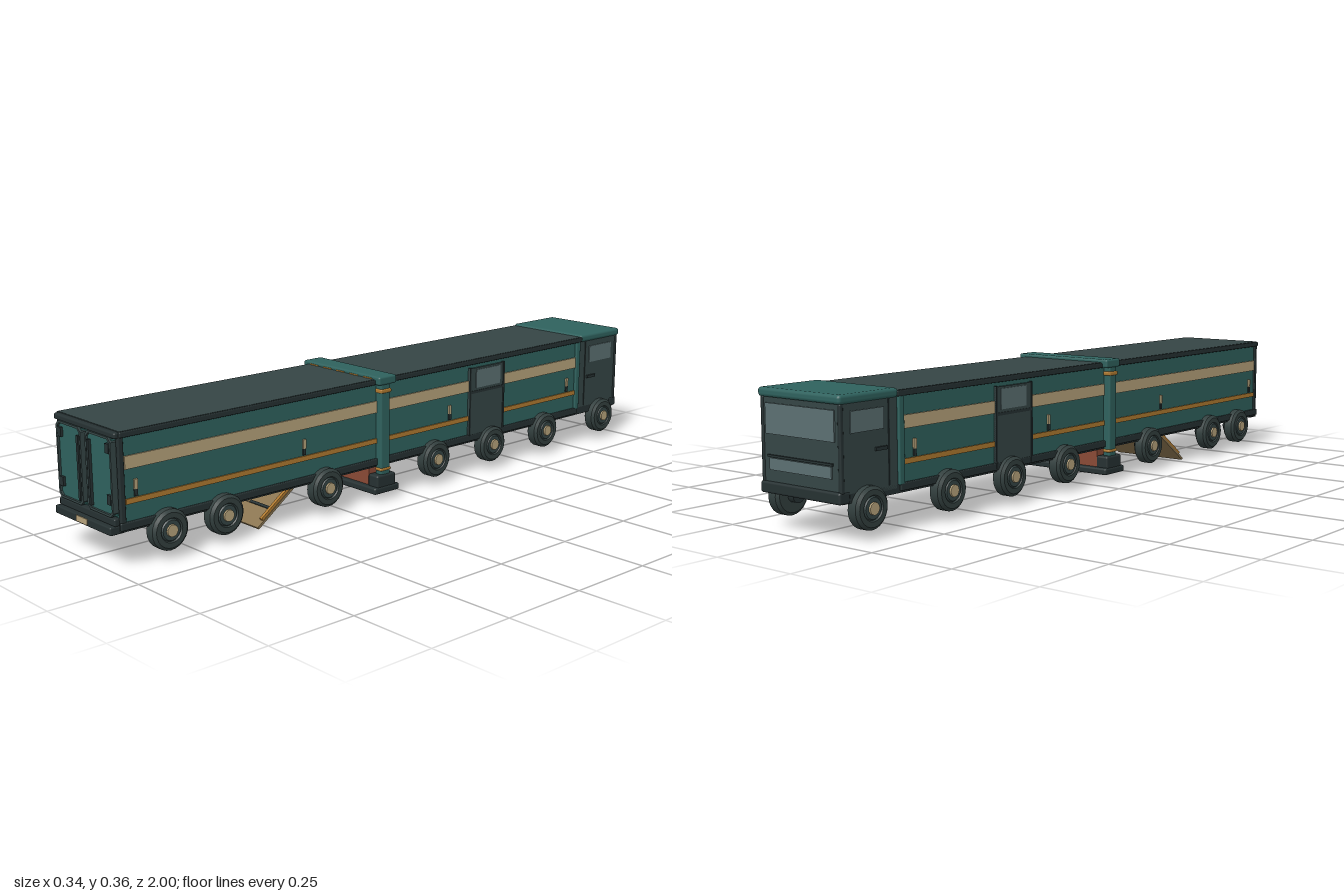
import * as THREE from 'three';
import { RoundedBoxGeometry } from 'three/addons/geometries/RoundedBoxGeometry.js';

const mat = (name, color) => {
  const m = new THREE.MeshStandardMaterial({ color });
  m.name = name;
  return m;
};

export function createModel() {
  const teal = mat('teal paint', 0x2f625e);
  const slate = mat('slate roof', 0x354545);
  const dark = mat('dark trim', 0x263132);
  const tyreMat = mat('tyre rubber', 0x33403f);
  const tan = mat('tan', 0xb8a47c);
  const orange = mat('orange', 0xb07a30);
  const brown = mat('ramp brown', 0x8a7550);
  const glass = mat('glass', 0x5c7072);
  const rust = mat('rust', 0x8a4a36);

  const model = new THREE.Group();
  model.name = 'longHauler';

  const add = (parent, name, geo, material, x = 0, y = 0, z = 0) => {
    const m = new THREE.Mesh(geo, material);
    m.name = name;
    m.position.set(x, y, z);
    parent.add(m);
    return m;
  };
  // box given by its limits; r > 0 rounds the edges
  const box = (parent, name, material, x0, x1, y0, y1, z0, z1, r = 0) => {
    const s = [x1 - x0, y1 - y0, z1 - z0];
    const geo = r ? new RoundedBoxGeometry(...s, 2, r) : new THREE.BoxGeometry(...s);
    return add(parent, name, geo, material, (x0 + x1) / 2, (y0 + y1) / 2, (z0 + z1) / 2);
  };
  // the same box on both sides, x limits measured outwards
  const pair = (parent, name, material, x0, x1, ...rest) => {
    box(parent, name + 'Left', material, x0, x1, ...rest);
    box(parent, name + 'Right', material, -x1, -x0, ...rest);
  };

  // Long cargo body
  const body = new THREE.Group();
  body.name = 'cargoBody';
  model.add(body);
  box(body, 'hull', teal, -0.138, 0.138, 0.11, 0.345, -0.79, 0.968);
  box(body, 'floor', dark, -0.14, 0.14, 0.095, 0.118, -0.985, 0.97);
  box(body, 'roof', slate, -0.143, 0.143, 0.343, 0.354, -0.8, 0.968);
  pair(body, 'roofRail', dark, 0.138, 0.148, 0.338, 0.353, -0.8, 0.97, 0.003);
  pair(body, 'skirt', dark, 0.136, 0.146, 0.1, 0.12, -0.79, 0.975, 0.003);
  pair(body, 'creamStripe', tan, 0.136, 0.142, 0.255, 0.289, -0.775, 0.955);
  pair(body, 'orangeStripe', orange, 0.136, 0.142, 0.165, 0.179, -0.78, 0.955);
  pair(body, 'frontPost', dark, 0.13, 0.143, 0.115, 0.342, 0.957, 0.972, 0.003);
  pair(body, 'rearPost', teal, 0.13, 0.146, 0.115, 0.342, -0.795, -0.775, 0.004);
  for (const z of [0.925, 0.38, -0.19, -0.735]) {
    pair(body, 'markerLamp', tan, 0.136, 0.143, 0.2, 0.226, z - 0.005, z + 0.005);
    pair(body, 'lampBracket', dark, 0.136, 0.142, 0.182, 0.2, z - 0.005, z + 0.005);
  }

  // Side doors
  pair(body, 'sideDoor', slate, 0.136, 0.145, 0.105, 0.326, -0.425, -0.27);
  pair(body, 'sideDoorJambFront', dark, 0.136, 0.147, 0.105, 0.328, -0.276, -0.27);
  pair(body, 'sideDoorJambRear', dark, 0.136, 0.147, 0.105, 0.328, -0.425, -0.419);
  pair(body, 'sideDoorSill', dark, 0.136, 0.147, 0.248, 0.256, -0.42, -0.275);
  pair(body, 'sideDoorWindow', glass, 0.144, 0.147, 0.264, 0.32, -0.405, -0.298);

  // Double doors on the front end
  const doors = new THREE.Group();
  doors.name = 'endDoors';
  model.add(doors);
  const octagon = (P, x0, x1, y0, y1, c) => {
    const s = new P();
    [[x0 + c, y0], [x1 - c, y0], [x1, y0 + c], [x1, y1 - c], [x1 - c, y1], [x0 + c, y1], [x0, y1 - c], [x0, y0 + c]]
      .forEach(([x, y], i) => (i ? s.lineTo(x, y) : s.moveTo(x, y)));
    s.closePath();
    return s;
  };
  for (const s of [1, -1]) {
    const [a, b] = s > 0 ? [0.01, 0.127] : [-0.127, -0.01];
    const frame = octagon(THREE.Shape, a, b, 0.132, 0.338, 0.012);
    frame.holes.push(octagon(THREE.Path, a + 0.006, b - 0.006, 0.138, 0.332, 0.01));
    add(doors, 'doorFrame', new THREE.ExtrudeGeometry(frame, { depth: 0.018, bevelEnabled: false }), slate, 0, 0, 0.967);
  }
  pair(doors, 'doorLeaf', teal, 0.013, 0.124, 0.135, 0.335, 0.965, 0.979);
  pair(doors, 'lockRod', dark, 0.02, 0.029, 0.144, 0.315, 0.977, 0.987);
  for (const y of [0.164, 0.296])
    pair(doors, 'hinge', dark, 0.103, 0.119, y, y + 0.025, 0.977, 0.986);
  box(doors, 'doorSill', dark, -0.13, 0.13, 0.11, 0.13, 0.96, 0.984, 0.004);
  box(doors, 'lintel', dark, -0.142, 0.142, 0.336, 0.352, 0.955, 0.982, 0.005);
  box(doors, 'bumper', dark, -0.13, 0.13, 0.089, 0.111, 0.955, 0.998, 0.004);
  box(doors, 'blankPlate', tan, -0.026, 0.026, 0.093, 0.109, 0.996, 1.0);

  // Cab at the far end
  const cab = new THREE.Group();
  cab.name = 'cab';
  model.add(cab);
  box(cab, 'cabShell', slate, -0.14, 0.14, 0.1, 0.342, -0.988, -0.792, 0.008);
  box(cab, 'cabRoof', teal, -0.146, 0.146, 0.336, 0.36, -0.996, -0.795, 0.009);
  box(cab, 'cabBumper', dark, -0.142, 0.142, 0.095, 0.125, -0.996, -0.96, 0.006);
  box(cab, 'windscreen', glass, -0.122, 0.122, 0.245, 0.322, -0.992, -0.985);
  box(cab, 'grille', glass, -0.11, 0.11, 0.155, 0.185, -0.992, -0.985);
  box(cab, 'grilleTrim', dark, -0.115, 0.115, 0.187, 0.193, -0.993, -0.985);
  pair(cab, 'cabWindow', glass, 0.137, 0.143, 0.264, 0.318, -0.957, -0.845);
  pair(cab, 'cabHandle', dark, 0.138, 0.146, 0.212, 0.221, -0.875, -0.835);
  pair(cab, 'cabSeam', dark, 0.138, 0.142, 0.12, 0.335, -0.828, -0.824);
  pair(cab, 'cabCorner', dark, 0.13, 0.142, 0.12, 0.338, -0.99, -0.978, 0.004);

  // Arch around the middle of the body
  const arch = new THREE.Group();
  arch.name = 'middleArch';
  model.add(arch);
  box(arch, 'archBeam', teal, -0.165, 0.165, 0.338, 0.363, 0.055, 0.122, 0.006);
  for (let i = -2; i <= 2; i++)
    box(arch, 'beamDash', orange, i * 0.058 - 0.018, i * 0.058 + 0.018, 0.353, 0.357, 0.118, 0.124);
  pair(arch, 'archPost', teal, 0.136, 0.161, 0.04, 0.345, 0.076, 0.111, 0.005);
  pair(arch, 'postBandUpper', orange, 0.137, 0.164, 0.314, 0.326, 0.073, 0.114, 0.004);
  pair(arch, 'postBandLower', orange, 0.137, 0.163, 0.085, 0.094, 0.073, 0.114, 0.004);
  pair(arch, 'postShoe', dark, 0.125, 0.166, 0.035, 0.075, 0.058, 0.13, 0.006);
  box(arch, 'crossFoot', dark, -0.169, 0.169, 0.021, 0.041, 0.046, 0.142, 0.006);
  box(arch, 'rustBlock', rust, -0.125, 0.125, 0.038, 0.1, 0.062, 0.126);

  // Loading ramp hanging from the floor
  const ramp = new THREE.Group();
  ramp.name = 'ramp';
  ramp.position.set(0, 0.098, 0.405);
  ramp.rotation.x = Math.atan2(0.092, 0.127);
  model.add(ramp);
  box(ramp, 'rampDeck', brown, -0.125, 0.125, -0.007, 0, 0, 0.16);
  pair(ramp, 'rampRail', orange, 0.113, 0.123, 0, 0.008, 0.005, 0.135);
  pair(ramp, 'rampCleat', dark, 0.025, 0.106, 0, 0.003, 0.088, 0.096);
  const arrow = new THREE.Shape([[-0.025, 0], [0.025, 0], [0, 0.014]].map(p => new THREE.Vector2(...p)));
  add(ramp, 'rampArrow', new THREE.ExtrudeGeometry(arrow, { depth: 0.003, bevelEnabled: false }), tan, 0, 0, 0.096)
    .rotation.x = -Math.PI / 2;

  // Wheels, seven on each side
  const profile = [[0.018, -0.02], [0.047, -0.02], [0.055, -0.013], [0.055, 0.013], [0.047, 0.02], [0.033, 0.02], [0.03, 0.016], [0.0, 0.016]];
  const pts = profile.flatMap(p => [p, p]).map(p => new THREE.Vector2(...p));
  const tyreGeo = new THREE.LatheGeometry(pts, 24);
  const rimGeo = new THREE.CylinderGeometry(0.027, 0.03, 0.004, 20);
  const hubGeo = new THREE.CylinderGeometry(0.016, 0.019, 0.03, 16);
  for (const z of [0.838, 0.66, 0.308, -0.12, -0.366, -0.616, -0.905])
    for (const s of [1, -1]) {
      const wheel = new THREE.Group();
      wheel.name = s > 0 ? 'wheelLeft' : 'wheelRight';
      wheel.position.set(s * 0.143, 0.077, z);
      wheel.rotation.z = -s * Math.PI / 2;
      model.add(wheel);
      add(wheel, 'tyre', tyreGeo, tyreMat);
      add(wheel, 'rim', rimGeo, slate, 0, 0.018, 0);
      add(wheel, 'hub', hubGeo, tan, 0, 0.01, 0);
      add(wheel, 'axleStub', new THREE.CylinderGeometry(0.02, 0.02, 0.03, 12), dark, 0, -0.025, 0);
    }
  return model;
}
